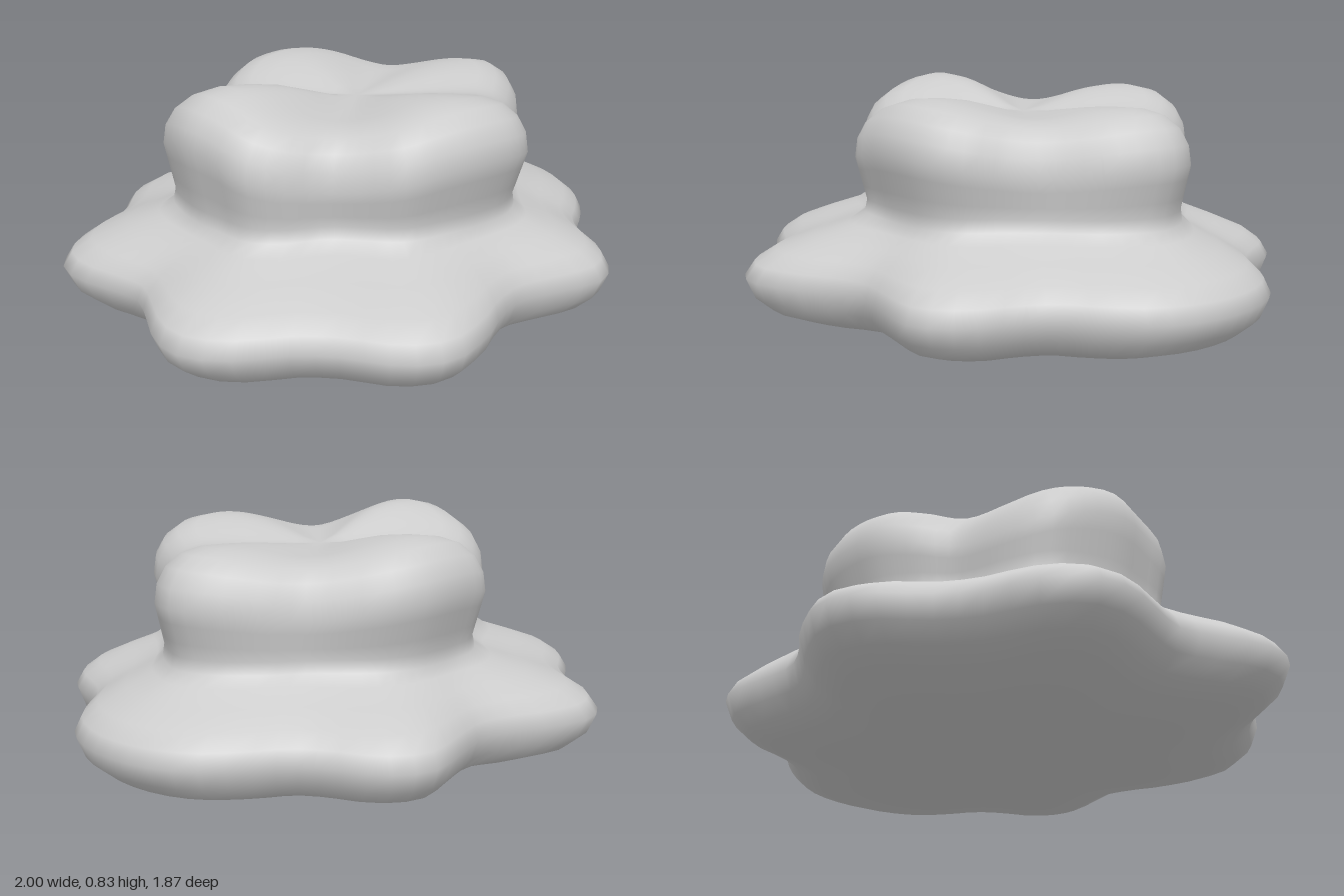
import * as THREE from 'three';

const SEGMENTS = 80;
const { lerp } = THREE.MathUtils;

// Smooth closed outline through (x, z) points, returned as radius by angle.
function radiusByAngle(points) {
  const curve = new THREE.CatmullRomCurve3(
    points.map(([x, z]) => new THREE.Vector3(x, 0, z)), true, 'centripetal');
  const polar = curve.getPoints(600)
    .map((p) => ({ a: Math.atan2(p.z, p.x), r: Math.hypot(p.x, p.z) }));
  return (angle) => {
    const target = Math.atan2(Math.sin(angle), Math.cos(angle));
    let best = polar[0], error = Infinity;
    for (const p of polar) {
      const d = Math.abs(p.a - target);
      const e = Math.min(d, 2 * Math.PI - d);
      if (e < error) { error = e; best = p; }
    }
    return best.r;
  };
}

// Skins rings, each a function of the angle giving [radius, height].
// Optional top or bottom heights close the ends at the axis.
function loft(rings, bottomY, topY) {
  const pos = [], index = [];
  for (const ring of rings) {
    for (let i = 0; i < SEGMENTS; i++) {
      const a = (i / SEGMENTS) * Math.PI * 2;
      const [r, y] = ring(a);
      pos.push(r * Math.cos(a), y, r * Math.sin(a));
    }
  }
  for (let j = 0; j < rings.length - 1; j++) {
    for (let i = 0; i < SEGMENTS; i++) {
      const n = (i + 1) % SEGMENTS;
      const a = j * SEGMENTS + i, b = j * SEGMENTS + n;
      const c = a + SEGMENTS, d = b + SEGMENTS;
      index.push(a, c, b, b, c, d);
    }
  }
  const cap = (y, start, up) => {
    const centre = pos.length / 3;
    pos.push(0, y, 0);
    for (let i = 0; i < SEGMENTS; i++) {
      const a = start + i, b = start + ((i + 1) % SEGMENTS);
      if (up) index.push(a, centre, b);
      else index.push(a, b, centre);
    }
  };
  if (bottomY !== undefined) cap(bottomY, 0, false);
  if (topY !== undefined) cap(topY, (rings.length - 1) * SEGMENTS, true);
  const geometry = new THREE.BufferGeometry();
  geometry.setAttribute('position', new THREE.Float32BufferAttribute(pos, 3));
  geometry.setIndex(index);
  geometry.computeVertexNormals();
  return geometry;
}

export function createModel() {
  const group = new THREE.Group();
  const grey = new THREE.MeshStandardMaterial({ color: 0xcccccc });
  grey.name = 'light grey';

  // Seven-lobed skirt outline, mirrored front to back
  const half = [
    [1, 0], [0.98, 0.15], [0.92, 0.275], [0.81, 0.38], [0.695, 0.47],
    [0.62, 0.6], [0.565, 0.73], [0.44, 0.825], [0.27, 0.805], [0.1, 0.775],
    [-0.03, 0.81], [-0.18, 0.895], [-0.37, 0.935], [-0.515, 0.85],
    [-0.6, 0.73], [-0.715, 0.625], [-0.87, 0.55], [-0.98, 0.435],
    [-1, 0.295], [-0.95, 0.145], [-0.91, 0],
  ];
  const skirt = radiusByAngle([
    ...half, ...half.slice(1, -1).reverse().map(([x, z]) => [x, -z]),
  ]);

  // Four-lobed crown outline
  const crown = radiusByAngle([
    [0.74, 0], [0.7, 0.1], [0.62, 0.2], [0.5, 0.3], [0.4, 0.42],
    [0.32, 0.55], [0.22, 0.62], [0.08, 0.64], [-0.08, 0.62], [-0.24, 0.57],
    [-0.32, 0.48], [-0.42, 0.38], [-0.55, 0.33], [-0.65, 0.25],
    [-0.69, 0.1], [-0.71, 0], [-0.69, -0.15], [-0.64, -0.27],
    [-0.52, -0.36], [-0.35, -0.43], [-0.25, -0.54], [-0.13, -0.62],
    [0, -0.64], [0.08, -0.64], [0.19, -0.62], [0.3, -0.55],
    [0.38, -0.45], [0.46, -0.34], [0.57, -0.25], [0.69, -0.13],
  ]);

  // 0 on the crown lobes, 1 in the valleys; front and back lobes lean to +x
  const valley = (a) => 0.5 - 0.5 * Math.cos(
    4 * (a + 0.15 * Math.sin(a) + 0.1 * Math.sin(2 * a)));
  const crownHeight = (a) => 0.805 - 0.03 * Math.cos(a)
    - (0.075 - 0.035 * Math.cos(a)) * valley(a);
  // The neck is rounder than the crown: its valleys are filled
  const neck = (a) => crown(a) * (0.9 + 0.05 * valley(a) + 0.03 * Math.cos(a) ** 4);
  const dipY = 0.725;

  const skirtRing = (s, y) => (a) => [skirt(a) * s, y];
  const slopeRing = (t, y) => (a) => [lerp(neck(a), skirt(a), t), y];
  // Crown side, t of the way up from the neck to the widest line
  const sideRing = (t) => (a) => [
    lerp(neck(a), crown(a), t), lerp(0.42, crownHeight(a) - 0.175, t)];
  // Crown top rings follow the lobes and fade into the central dip
  const topRing = (s, drop, fade = 0) => (a) => [
    crown(a) * s, lerp(crownHeight(a) - drop, dipY, fade)];

  const body = new THREE.Mesh(loft([
    skirtRing(0.66, 0), skirtRing(0.81, 0.02), skirtRing(0.91, 0.055),
    skirtRing(0.97, 0.105), skirtRing(1, 0.175), slopeRing(0.92, 0.225),
    slopeRing(0.75, 0.27), slopeRing(0.45, 0.315), slopeRing(0.16, 0.355),
    slopeRing(0.03, 0.39), sideRing(0.08), sideRing(0.35), sideRing(0.72),
    sideRing(1), topRing(0.985, 0.11), topRing(0.935, 0.055),
    topRing(0.85, 0.016), topRing(0.74, 0), topRing(0.6, 0, 0.05),
    topRing(0.45, 0, 0.22), topRing(0.3, 0, 0.52), topRing(0.15, 0, 0.83),
  ], undefined, dipY), grey);
  body.name = 'lobedBody';

  // Flat underside
  const base = new THREE.Mesh(loft([skirtRing(0.66, 0)], 0), grey);
  base.name = 'flatBase';

  group.add(body, base);
  return group;
}
